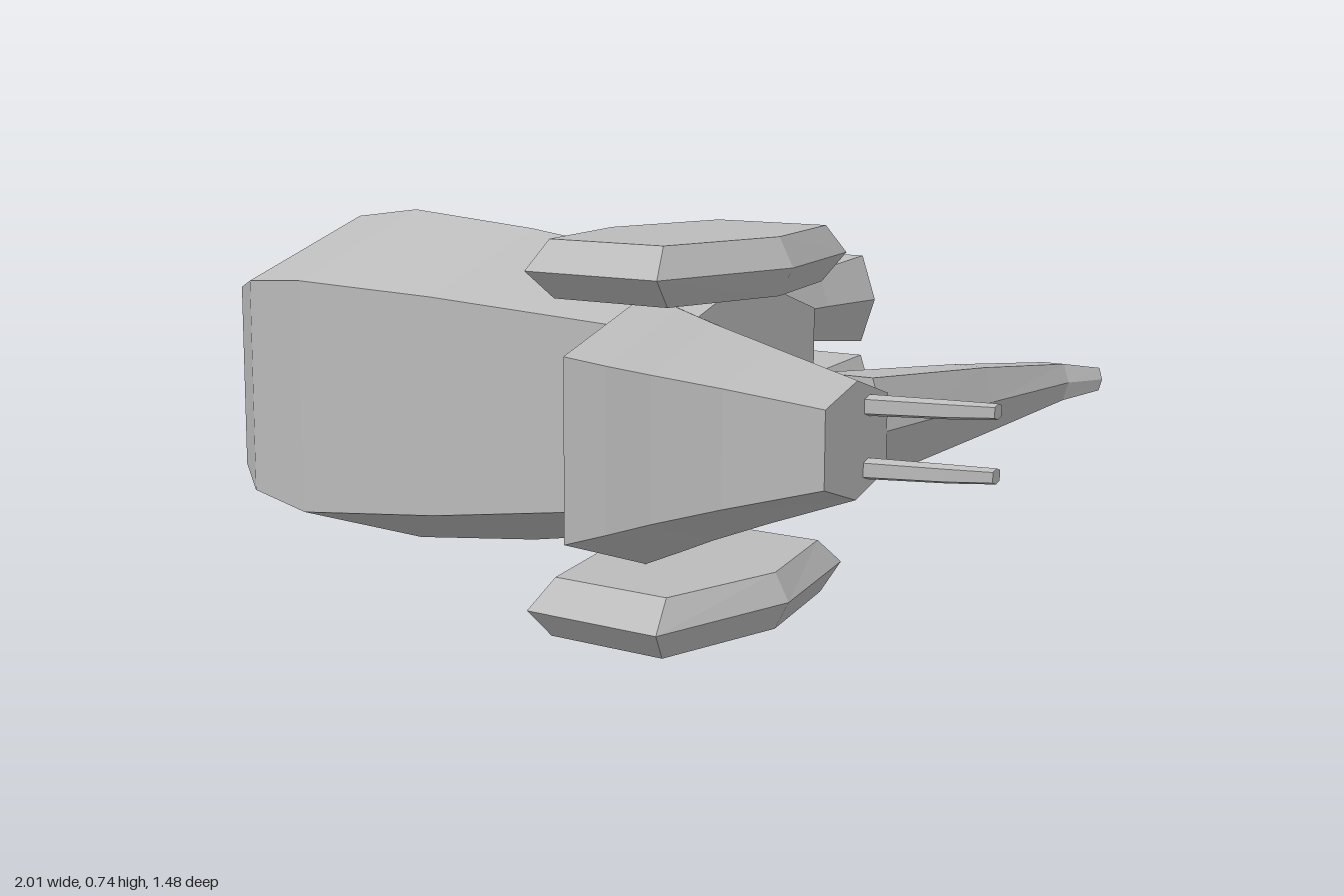
import * as THREE from 'three';

const MID = 0.372; // height of the symmetry plane (the animal lies on its side)
const FLAT = 0.66; // share of the width taken by the flat faces

const grey = new THREE.MeshStandardMaterial({ color: 0xbbbbbb, flatShading: true });
grey.name = 'grey';

// Hexagonal loft. Each section is [centre, half-width to the corners, half-width to the flats].
function loft(name, sections) {
  const rings = sections.map(([c, u, v]) =>
    [[1, 0], [FLAT, 1], [-FLAT, 1], [-1, 0], [-FLAT, -1], [FLAT, -1]].map(([a, b]) =>
      new THREE.Vector3(...c)
        .addScaledVector(new THREE.Vector3(...u), a)
        .addScaledVector(new THREE.Vector3(...v), b)));
  const tris = [];
  for (let i = 0; i + 1 < rings.length; i++) {
    for (let j = 0; j < 6; j++) {
      const k = (j + 1) % 6;
      const [a, b, c, d] = [rings[i][j], rings[i][k], rings[i + 1][k], rings[i + 1][j]];
      tris.push([a, b, c], [a, c, d]);
    }
  }
  const last = rings[rings.length - 1];
  for (let j = 1; j < 5; j++) {
    tris.push([rings[0][0], rings[0][j + 1], rings[0][j]], [last[0], last[j], last[j + 1]]);
  }
  // Turn the faces outward when the sections wind the other way
  const volume = tris.reduce((s, [a, b, c]) => s + a.dot(b.clone().cross(c)), 0);
  if (volume < 0) tris.forEach((t) => t.reverse());
  const geometry = new THREE.BufferGeometry().setFromPoints(tris.flat());
  geometry.computeVertexNormals();
  const mesh = new THREE.Mesh(geometry, grey);
  mesh.name = name;
  return mesh;
}

// Sections across x, from [x, low z, high z, half-width in y]
const across = (rows, ratio) => rows.map(([x, z0, z1, w]) =>
  [[x, MID, (z0 + z1) / 2], [0, w, 0], [0, 0, (z1 - z0) / 2]]);

export function createModel() {
  const group = new THREE.Group();
  group.name = 'elephant';

  // Barrel body with an arched back and flat belly
  group.add(loft('body', across([
    [-0.83, -0.15, 0.29, 0.225],
    [-0.71, -0.15, 0.45, 0.302],
    [-0.59, -0.15, 0.54, 0.346],
    [-0.40, -0.15, 0.585, 0.37],
    [-0.10, -0.15, 0.52, 0.34],
    [0.40, -0.15, 0.38, 0.26],
  ])));

  // Head tapering to the face
  group.add(loft('head', across([
    [0.40, 0.22, 0.735, 0.26],
    [0.46, 0.22, 0.69, 0.234],
    [0.52, 0.22, 0.635, 0.207],
    [0.62, 0.22, 0.555, 0.168],
    [0.775, 0.22, 0.455, 0.112],
  ])));

  // Trunk, from [z, low x, high x, half-width in y]
  group.add(loft('trunk', [
    [0.225, 0.6, 0.775, 0.1],
    [-0.2, 0.68, 0.795, 0.07],
    [-0.53, 0.748, 0.82, 0.04],
    [-0.615, 0.82, 0.862, 0.025],
  ].map(([z, x0, x1, w], i) =>
    [[(x0 + x1) / 2, MID, z], [(x1 - x0) / 2, 0, 0], [0, w, 0]])));

  // Tail
  group.add(loft('tail', [
    [-0.82, 0.075, 0.019, 0.016],
    [-0.915, 0.005, 0.017, 0.014],
    [-1.0, -0.13, 0.012, 0.012],
  ].map(([x, z, w, h]) => [[x, MID, z], [0, w, 0], [h * 0.6, 0, h]])));

  for (const side of [1, -1]) {
    const label = side > 0 ? 'upper' : 'lower';

    // Bevelled ear plates, from [distance from the middle, half x, half z]
    group.add(loft(label + 'Ear', [
      [0.262, 0.19, 0.27],
      [0.316, 0.22, 0.332],
      [0.372, 0.19, 0.283],
    ].map(([d, w, h]) => [[0.44, MID + side * d, 0.38], [w, 0, 0], [0, 0, h]])));

    // Tusks
    group.add(loft(label + 'Tusk', [
      [0.74, 0.3, 0.021],
      [0.92, 0.248, 0.018],
      [1.0, 0.218, 0.015],
    ].map(([x, z, r]) => [[x, MID + side * 0.06, z], [0, r, 0], [0, 0, r]])));

    // Legs flaring towards the feet
    for (const [end, x] of [['Hind', -0.522], ['Front', 0.122]]) {
      group.add(loft(label + end + 'Leg', [
        [-0.14, 0.083],
        [-0.4, 0.08],
        [-0.55, 0.084],
        [-0.74, 0.105],
      ].map(([z, r]) => [[x, MID + side * 0.122, z], [r, 0, 0], [0, r, 0]])));
    }
  }
  return group;
}
